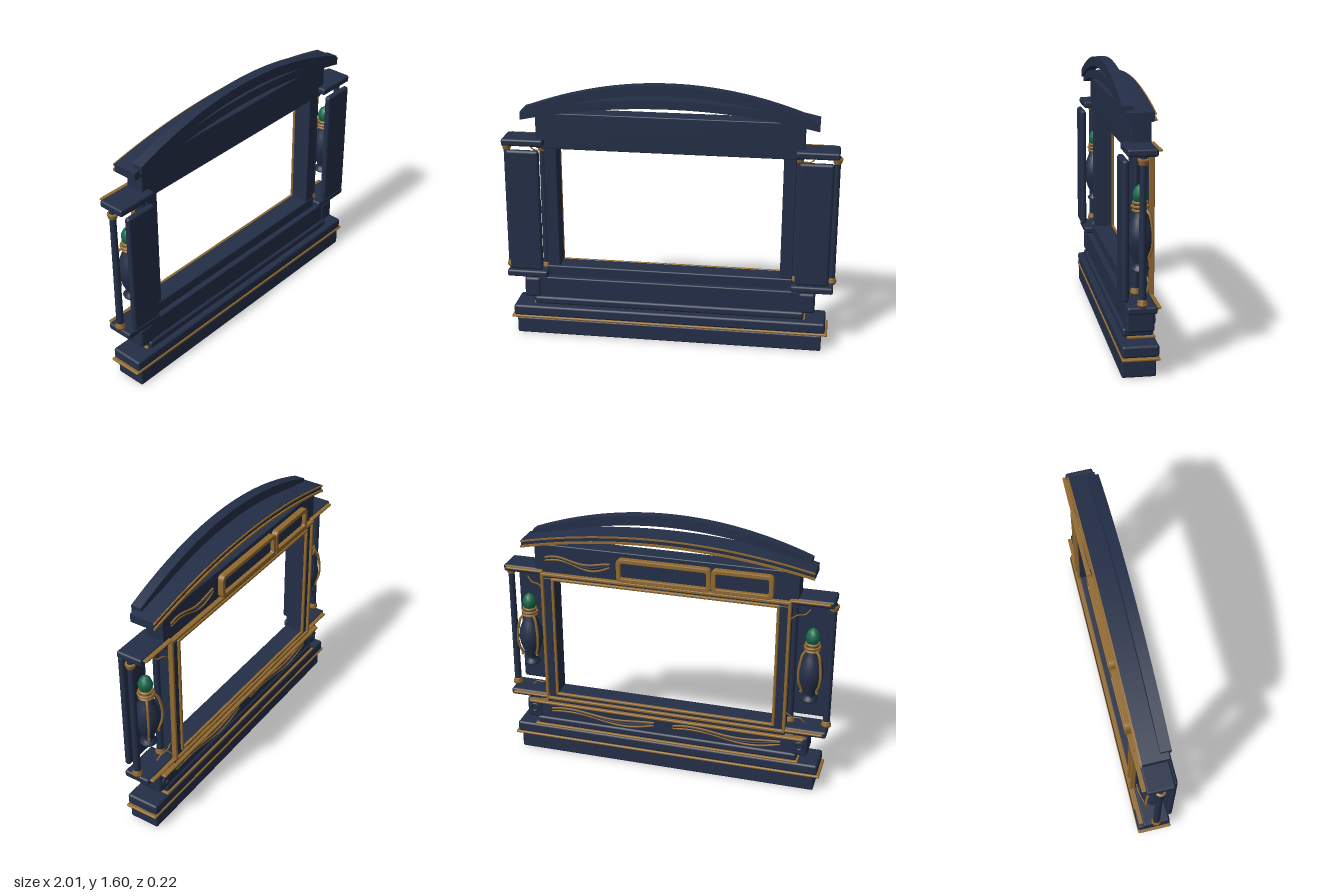
import * as THREE from 'three';
import { RoundedBoxGeometry } from 'three/addons/geometries/RoundedBoxGeometry.js';

export function createModel() {
  const model = new THREE.Group();
  const mat = (name, color) => {
    const m = new THREE.MeshStandardMaterial({ color });
    m.name = name;
    return m;
  };
  const navy = mat('navy', 0x232e47);
  const gold = mat('gold', 0x91692f);
  const green = mat('green', 0x14694a);

  const add = (name, geo, material, parent = model) => {
    const mesh = new THREE.Mesh(geo, material);
    mesh.name = name;
    parent.add(mesh);
    return mesh;
  };
  // Softly rounded block given by its limits
  const block = (name, x0, x1, y0, y1, z0, z1, material = navy, r = 0.008, parent = model) => {
    const w = x1 - x0, h = y1 - y0, d = z1 - z0;
    const geo = new RoundedBoxGeometry(w, h, d, 2, Math.min(r, w * 0.45, h * 0.45, d * 0.45));
    geo.translate((x0 + x1) / 2, (y0 + y1) / 2, (z0 + z1) / 2);
    return add(name, geo, material, parent);
  };
  const tube = (name, pts, r, material = gold, parent = model) => {
    const curve = new THREE.CatmullRomCurve3(pts.map(p => new THREE.Vector3(...p)));
    return add(name, new THREE.TubeGeometry(curve, 40, r, 6), material, parent);
  };
  const lathe = (name, pts, material, parent, segments = 24) =>
    add(name, new THREE.LatheGeometry(pts.map(p => new THREE.Vector2(...p)), segments), material, parent);

  // Stepped base
  block('plinth', -0.93, 0.93, 0, 0.102, -0.08, 0.107, navy, 0.01);
  block('plinthMoulding', -0.965, 0.965, 0.1, 0.116, -0.097, 0.11, gold);
  block('upperPlinth', -0.95, 0.95, 0.115, 0.182, -0.094, 0.108, navy, 0.014);
  block('stepMoulding', -0.83, 0.83, 0.18, 0.194, -0.093, 0.06, gold, 0.005);
  block('step', -0.82, 0.82, 0.19, 0.238, -0.083, 0.085, navy, 0.014);
  block('predella', -0.8, 0.8, 0.225, 0.365, -0.073, 0.068);
  block('predellaMoulding', -0.86, 0.86, 0.342, 0.358, -0.104, -0.06, gold, 0.006);

  // Frame around the opening
  block('bottomRail', -0.745, 0.745, 0.355, 0.43, -0.085, 0.035);
  block('lintel', -0.785, 0.785, 1.18, 1.398, -0.072, 0.04, navy, 0.006);
  const border = (name, x, y0, y1, w, z0, z1) => {
    const g = new THREE.Group();
    g.name = name;
    for (const s of [-1, 1]) block(name + 'Side', s * x - w / 2, s * x + w / 2, y0, y1, z0, z1, gold, 0.005, g);
    for (const y of [y0, y1]) block(name + 'Rail', -x - w / 2, x + w / 2, y - w / 2, y + w / 2, z0, z1, gold, 0.005, g);
    model.add(g);
  };
  border('innerGilding', 0.674, 0.423, 1.188, 0.016, -0.098, -0.08);
  border('outerGilding', 0.738, 0.388, 1.216, 0.018, -0.1, -0.068);

  // Raised panels with gilded rims on the lintel
  const roundRect = (P, x0, x1, y0, y1, r) => {
    const p = new P();
    p.absarc(x1 - r, y1 - r, r, 0, Math.PI / 2);
    p.absarc(x0 + r, y1 - r, r, Math.PI / 2, Math.PI);
    p.absarc(x0 + r, y0 + r, r, Math.PI, Math.PI * 1.5);
    p.absarc(x1 - r, y0 + r, r, Math.PI * 1.5, Math.PI * 2);
    p.closePath();
    return p;
  };
  for (const [x0, x1] of [[-0.28, 0.27], [-0.64, -0.29]]) {
    const rim = roundRect(THREE.Shape, x0, x1, 1.232, 1.368, 0.025);
    rim.holes.push(roundRect(THREE.Path, x0 + 0.018, x1 - 0.018, 1.25, 1.35, 0.015));
    const geo = new THREE.ExtrudeGeometry(rim, { depth: 0.03, bevelEnabled: true, bevelSize: 0.004, bevelThickness: 0.004, bevelSegments: 2, curveSegments: 6 });
    add('panelRim', geo.translate(0, 0, -0.106), gold);
    block('panelField', x0 + 0.01, x1 - 0.01, 1.24, 1.36, -0.086, -0.06, navy, 0.004);
  }

  // Wavy relief branches
  const branch = (x0, x1, y, amp, z) => {
    for (let k = 0; k < 3; k++) {
      const pts = [];
      for (let i = 0; i <= 12; i++) {
        const t = i / 12;
        pts.push([x0 + (x1 - x0) * t, y + (k - 1) * 0.02 * Math.sin(Math.PI * t) + amp * Math.sin(t * Math.PI * 2 + k * 0.5), z]);
      }
      tube('reliefBranch', pts, 0.006, k === 1 ? navy : gold);
    }
  };
  branch(0.72, 0.32, 1.3, 0.022, -0.075);
  branch(0.72, 0.06, 0.288, 0.02, -0.076);
  branch(-0.06, -0.72, 0.288, 0.02, -0.076);

  // Curved pediment bands
  const arch = (name, half, topMid, topEnd, botMid, botEnd, z0, z1, material) => {
    const n = 32, shape = new THREE.Shape();
    for (let i = 0; i <= n; i++) {
      const u = -1 + 2 * i / n;
      shape[i ? 'lineTo' : 'moveTo'](u * half, botMid + (botEnd - botMid) * u * u);
    }
    for (let i = n; i >= 0; i--) {
      const u = -1 + 2 * i / n;
      shape.lineTo(u * half, topMid + (topEnd - topMid) * u * u);
    }
    const geo = new THREE.ExtrudeGeometry(shape, { depth: z1 - z0, bevelEnabled: false });
    add(name, geo.translate(0, 0, z0), material);
  };
  arch('upperPediment', 0.83, 1.6, 1.44, 1.54, 1.395, 0.03, 0.092, navy);
  arch('lowerPediment', 0.865, 1.508, 1.41, 1.458, 1.362, -0.075, 0.075, navy);
  arch('pedimentGildingLow', 0.867, 1.474, 1.378, 1.462, 1.366, -0.086, -0.074, gold);
  arch('pedimentGildingHigh', 0.867, 1.505, 1.408, 1.496, 1.399, -0.083, -0.074, gold);

  // Column, urn and panel wings on both sides
  for (const s of [-1, 1]) {
    const wing = new THREE.Group();
    wing.name = s > 0 ? 'leftWing' : 'rightWing';
    model.add(wing);
    const sideBlock = (name, x0, x1, ...rest) =>
      block(name, Math.min(s * x0, s * x1), Math.max(s * x0, s * x1), ...rest, wing);

    sideBlock('jamb', 0.668, 0.742, 0.42, 1.19, -0.085, 0.03, navy, 0.005);
    sideBlock('cornerBlock', 0.785, 0.883, 0.23, 0.358, -0.08, 0.076, navy, 0.016);
    sideBlock('wingPanel', 0.757, 0.957, 0.425, 1.182, 0.072, 0.108, navy, 0.016);
    for (const [y0, y1, edge] of [[0.365, 0.407, 0.4], [1.2, 1.242, 1.236]]) {
      sideBlock('shelf', 0.735, 0.986, y0, y1, -0.075, 0.086, navy, 0.012);
      sideBlock('shelfGilding', 0.735, 0.966, edge - 0.012, edge, -0.098, -0.07, gold, 0.005);
    }
    // Rosette on the corner block
    const rosette = add('rosette', new THREE.TorusGeometry(0.024, 0.008, 8, 20), navy, wing);
    rosette.position.set(s * 0.834, 0.295, -0.08);

    for (const x of [0.756, 0.973]) {
      const column = new THREE.Group();
      column.name = 'column';
      column.position.set(s * x, 0, 0.005);
      wing.add(column);
      add('columnShaft', new THREE.CylinderGeometry(0.018, 0.021, 0.8, 16).translate(0, 0.803, 0), navy, column);
      const foot = [[0, 0], [0.029, 0], [0.03, 0.012], [0.024, 0.018], [0.026, 0.026], [0.021, 0.034]];
      lathe('columnBase', foot.map(([r, y]) => [r, 0.413 + y]), gold, column, 16);
      lathe('columnCapital', foot.map(([r, y]) => [r, 1.192 - y]).reverse(), gold, column, 16);
    }

    // Urn with bud finial and gilded handles
    const urn = new THREE.Group();
    urn.name = 'urn';
    urn.position.set(s * 0.865, 0, 0);
    wing.add(urn);
    lathe('urnBody', [[0, 0.572], [0.046, 0.574], [0.05, 0.586], [0.034, 0.598], [0.03, 0.615], [0.048, 0.655], [0.066, 0.71],
      [0.073, 0.755], [0.067, 0.805], [0.05, 0.85], [0.037, 0.885], [0.035, 0.905], [0.044, 0.925], [0, 0.93]], navy, urn);
    for (const [r, y] of [[0.038, 0.9], [0.043, 0.922], [0.036, 0.942]]) {
      const ring = add('urnRing', new THREE.TorusGeometry(r, 0.008, 8, 24), gold, urn);
      ring.rotation.x = Math.PI / 2;
      ring.position.y = y;
    }
    lathe('budFinial', [[0, 0.93], [0.03, 0.94], [0.041, 0.97], [0.04, 0.995], [0.028, 1.022], [0.01, 1.036], [0, 1.038]], green, urn, 10);
    for (const side of [-1, 1]) {
      const path = [[0.038, 0.905], [0.062, 0.885], [0.078, 0.83], [0.086, 0.76], [0.078, 0.7], [0.06, 0.655], [0.064, 0.64]];
      tube('urnHandle', path.map(([r, y]) => [side * r * 0.75, y, -r * 0.66]), 0.008, gold, urn);
    }

    // Slender gilded brackets springing from the frame
    for (const [y, d] of [[1.17, -1], [0.44, 1]]) {
      tube('bracket', [[s * 0.745, y + d * 0.06, -0.06], [s * 0.78, y + d * 0.035, -0.06], [s * 0.82, y + d * 0.03, -0.05], [s * 0.85, y, -0.04]], 0.004, gold, wing);
    }
  }
  return model;
}
